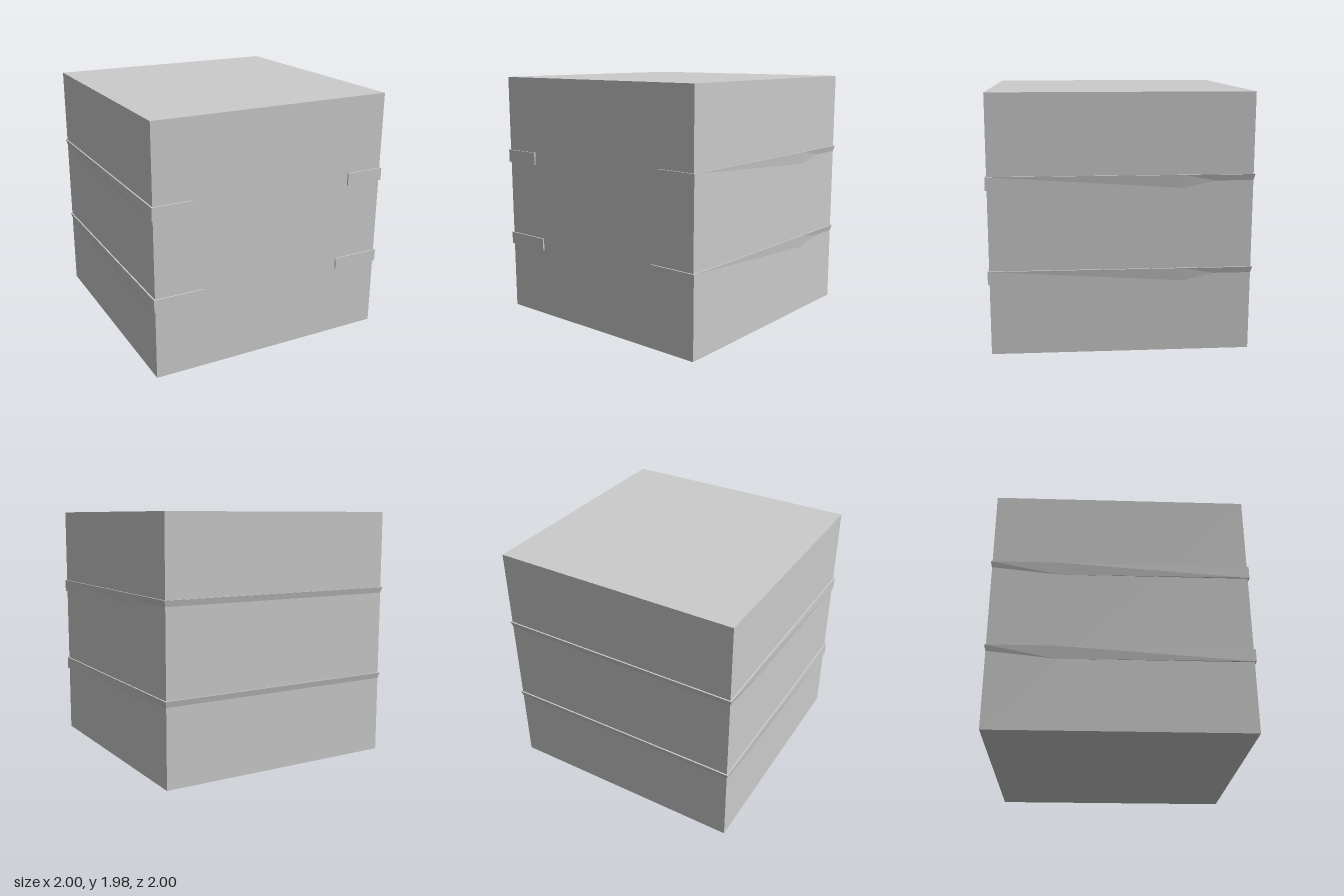
import * as THREE from 'three';

const material = new THREE.MeshStandardMaterial({ color: 0xcccccc, flatShading: true });

// Thin strap wrapped round three sides, its lower edge leaning into the box towards the back
function strapGeometry(endX, bottom, top) {
  const inner = 0.96;
  // x, z, inward lean of the lower edge
  const half = [[endX, 1, 0], [1, 1, 0], [1, -0.47, 0.012], [1, -1, 0.026]];
  const path = [...half, ...half.slice().reverse().map(([x, z, lean]) => [-x, z, lean])];

  const positions = [];
  const inset = (v, r) => (Math.abs(v) === 1 ? v * r : v);
  for (const [x, z, lean] of path) {
    for (const [r, y] of [[1, top], [1 - lean, bottom], [inner, bottom], [inner, top]]) {
      positions.push(inset(x, r), y, inset(z, r));
    }
  }

  const index = [];
  for (let i = 0; i < path.length - 1; i++) {
    for (let j = 0; j < 4; j++) {
      const a = i * 4 + j, b = i * 4 + (j + 1) % 4;
      index.push(a, b, b + 4, a, b + 4, a + 4);
    }
  }
  // end caps
  const e = (path.length - 1) * 4;
  index.push(0, 2, 1, 0, 3, 2, e, e + 1, e + 2, e, e + 2, e + 3);

  const geometry = new THREE.BufferGeometry();
  geometry.setAttribute('position', new THREE.Float32BufferAttribute(positions, 3));
  geometry.setIndex(index);
  const flat = geometry.toNonIndexed();
  flat.computeVertexNormals();
  return flat;
}

export function createModel() {
  const model = new THREE.Group();
  model.name = 'strappedCrate';

  // Plain crate body
  const body = new THREE.Mesh(new THREE.BoxGeometry(1.976, 1.98, 1.976), material);
  body.name = 'crateBody';
  body.position.y = 0.99;
  model.add(body);

  // Two straps, open at the front
  for (const [name, endX, bottom, top] of [
    ['lowerStrap', 0.6, 0.555, 0.655],
    ['upperStrap', 0.675, 1.27, 1.37],
  ]) {
    const strap = new THREE.Mesh(strapGeometry(endX, bottom, top), material);
    strap.name = name;
    model.add(strap);
  }
  return model;
}
